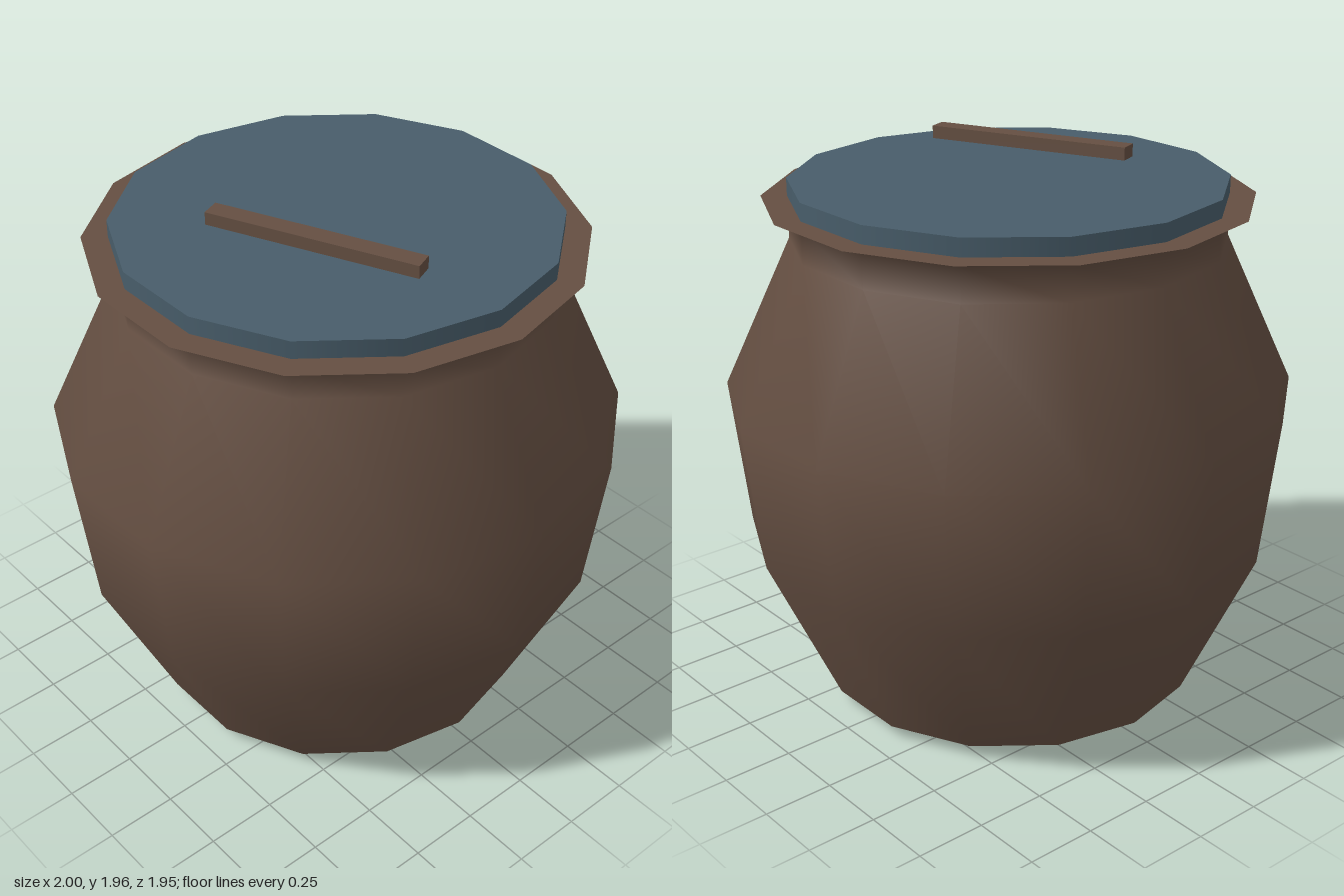
import * as THREE from 'three';

const SIDES = 14;

export function createModel() {
  const wood = new THREE.MeshStandardMaterial({ color: 0x654f42 });
  wood.name = 'brown wood';
  const slate = new THREE.MeshStandardMaterial({ color: 0x485d6a });
  slate.name = 'slate blue';

  const group = new THREE.Group();
  group.name = 'lidded pot';

  function add(name, geometry, material) {
    const mesh = new THREE.Mesh(geometry, material);
    mesh.name = name;
    group.add(mesh);
    return mesh;
  }

  // Fourteen-sided turned surface with a corner on the x axis
  const turn = (points) => new THREE.LatheGeometry(
    points.map(([r, y]) => new THREE.Vector2(r, y)), SIDES, Math.PI / 2);

  // Shallow pointed underside, with a crisp edge to the body
  add('base', turn([[0, 0], [0.685, 0.047]]), wood);

  // Bulging body, straight neck and flared underside of the rim
  add('body', turn([
    [0.685, 0.047], [0.94, 0.61], [1, 1.14], [0.755, 1.67], [0.755, 1.79], [0.845, 1.818],
  ]), wood);

  // Flat top of the rim
  add('rimTop', turn([[0.845, 1.818], [0.7, 1.818]]), wood);

  // Lid disc
  const lid = add('lid', new THREE.CylinderGeometry(0.755, 0.755, 0.064, SIDES, 1, false, Math.PI / 2), slate);
  lid.position.y = 1.848;

  // Stick hovering above the lid
  const stick = add('stick', new THREE.BoxGeometry(0.75, 0.045, 0.07), wood);
  stick.position.set(0.15, 1.941, 0.225);
  stick.rotation.y = 0.4;

  return group;
}
